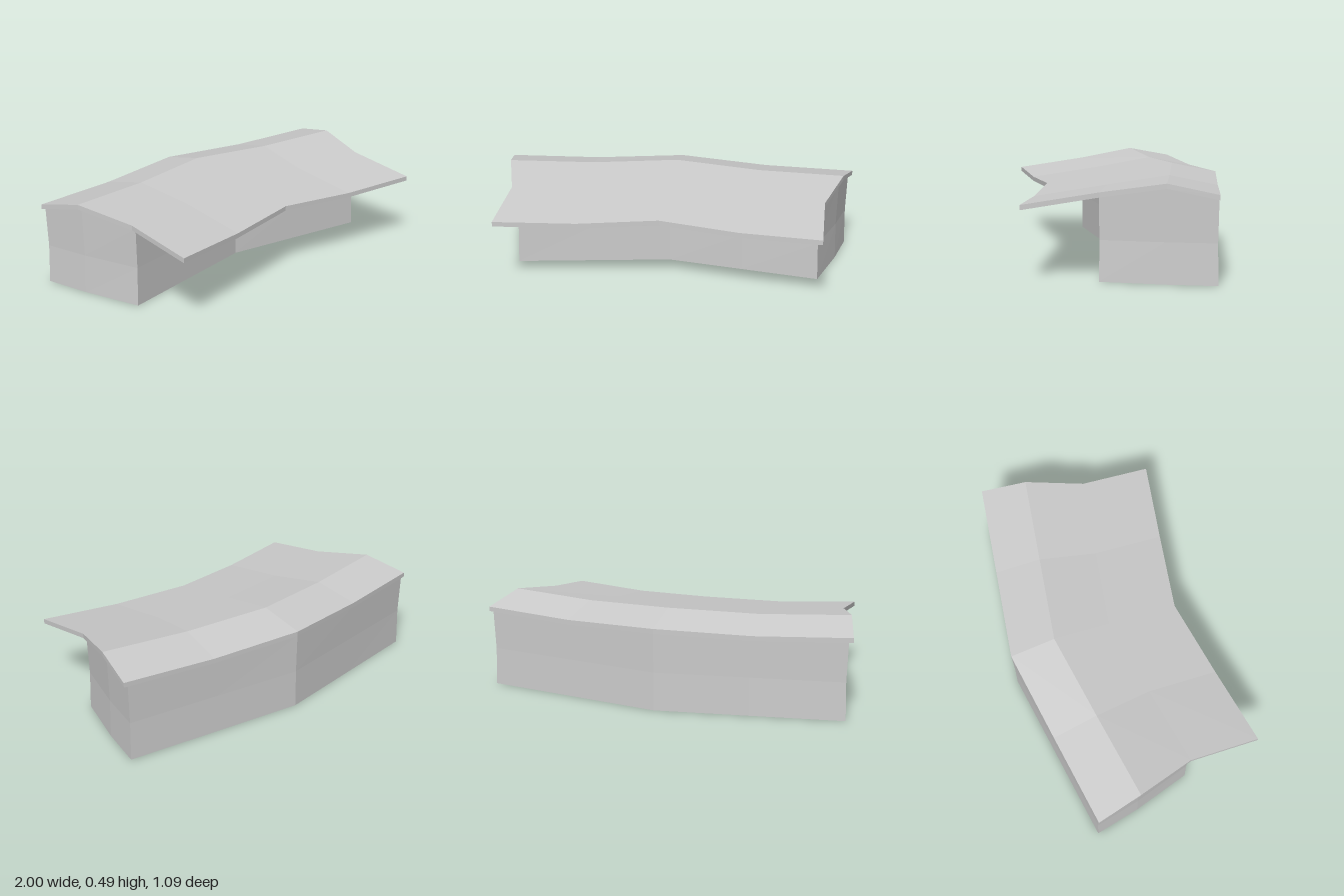
import * as THREE from 'three';

// Half widths, depths and heights along the roof slope, listed from front to back
const ROOF = { x: [0.853, 0.853, 0.947, 1], z: [0.543, 0.16, -0.152, -0.398], y: [0.383, 0.44, 0.49, 0.44] };
const WALL = { x: [0.833, 0.925, 0.977], z: [0.163, -0.152, -0.397], y: [0.415, 0.465, 0.415] };
const THICKNESS = 0.025;
const BEND = 0.147; // how far the middle is swept backwards
const SAG = 0.014; // dip halfway along each wing

const sweep = (u) => BEND * (1 - Math.abs(u));
const sag = (u) => SAG * (1 - Math.abs(2 * Math.abs(u) - 1));

// Subdivided box whose vertices are moved by rule(u, v, k):
// u runs -1..1 sideways, v runs 0..1 upwards, k counts columns from front to back
function bentBox(name, segX, segY, segZ, rule) {
  const box = new THREE.BoxGeometry(2, 1, segZ, segX, segY, segZ);
  const pos = box.attributes.position;
  for (let i = 0; i < pos.count; i++) {
    const k = Math.round(segZ / 2 - pos.getZ(i));
    pos.setXYZ(i, ...rule(pos.getX(i), pos.getY(i) + 0.5, k));
  }
  const geometry = box.toNonIndexed();
  geometry.computeVertexNormals();
  const material = new THREE.MeshStandardMaterial({ color: 0xcccccc, flatShading: true });
  const mesh = new THREE.Mesh(geometry, material);
  mesh.name = name;
  return mesh;
}

export function createModel() {
  const group = new THREE.Group();
  group.name = 'bentShelter';

  // Thin pitched roof with a long front overhang
  group.add(bentBox('roof', 4, 1, 3, (u, v, k) => [
    u * ROOF.x[k],
    ROOF.y[k] - sag(u) - (1 - v) * THICKNESS,
    ROOF.z[k] - sweep(u),
  ]));

  // Walls, slightly pinched at half height, with a top that follows the roof
  group.add(bentBox('walls', 4, 2, 2, (u, v, k) => {
    const pinch = v === 0.5 ? 0.006 : 0;
    const inward = [-0.5, 0, 0.5][k] * pinch;
    return [
      u * (WALL.x[k] - pinch),
      v === 1 ? WALL.y[k] - sag(u) : v * 0.41,
      WALL.z[k] - sweep(u) + inward,
    ];
  }));

  return group;
}
